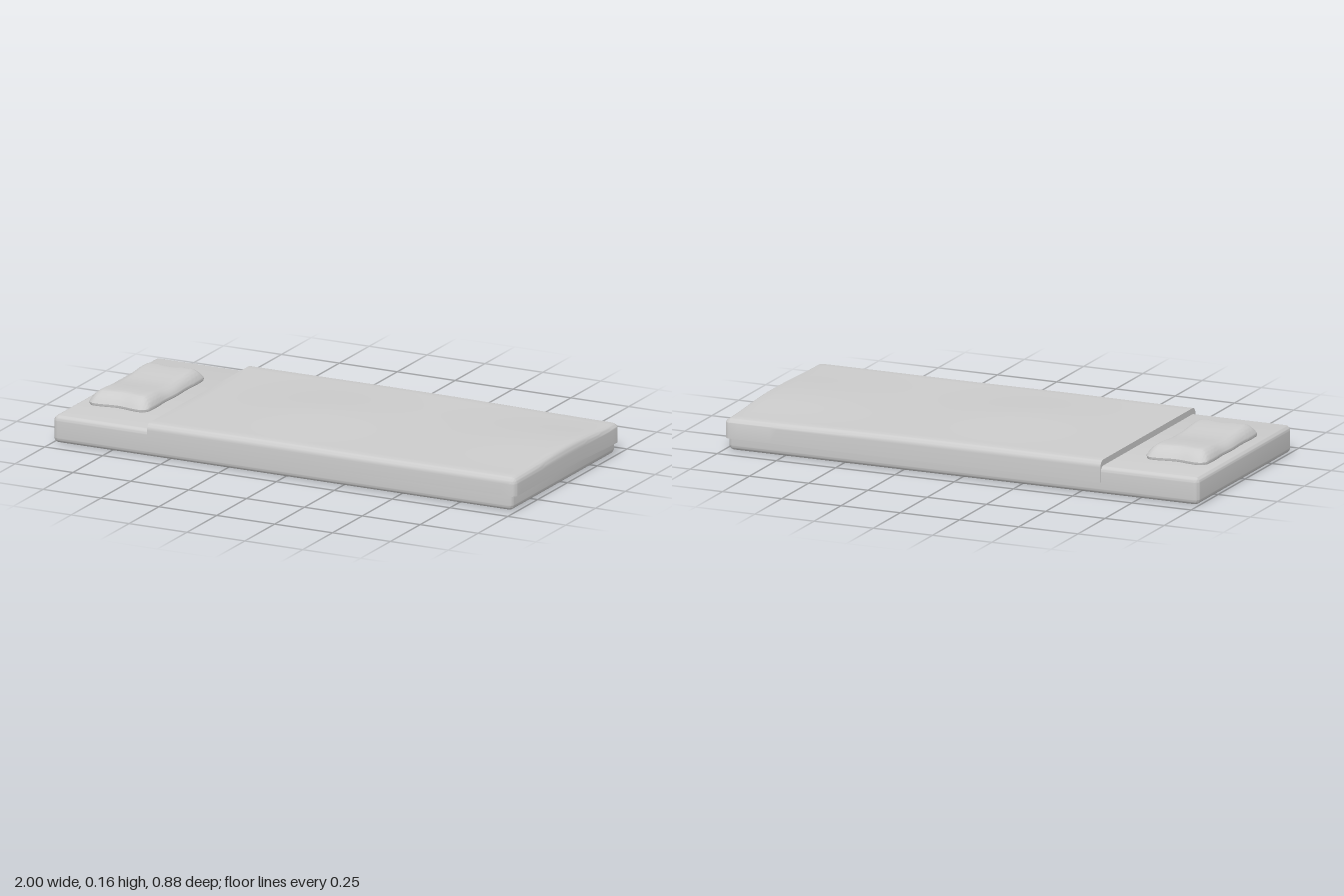
import * as THREE from 'three';
import { mergeVertices, toCreasedNormals } from 'three/addons/utils/BufferGeometryUtils.js';

const K = 4; // segments across each rounded edge

// Box with rounded edges and a regular grid on its faces; warp(p) then moves each vertex
function roundedSlab(min, max, r, grid, warp = () => {}) {
  const seg = grid.map((n) => n + 2 * K);
  const geo = new THREE.BoxGeometry(1, 1, 1, ...seg);
  geo.deleteAttribute('uv');
  geo.deleteAttribute('normal');
  const pos = geo.attributes.position;
  const half = min.map((v, a) => (max[a] - v) / 2);
  const mid = min.map((v, a) => (max[a] + v) / 2);
  const p = new THREE.Vector3();
  const off = new THREE.Vector3();
  for (let v = 0; v < pos.count; v++) {
    p.fromBufferAttribute(pos, v);
    off.set(0, 0, 0);
    for (let a = 0; a < 3; a++) {
      const i = Math.round((p.getComponent(a) + 0.5) * seg[a]);
      const inner = half[a] - r;
      const t = i < K ? (i - K) / K : Math.max(0, i - K - grid[a]) / K;
      const s = THREE.MathUtils.clamp((i - K) / grid[a], 0, 1) * 2 - 1;
      p.setComponent(a, mid[a] + s * inner);
      off.setComponent(a, Math.tan(t * Math.PI / 4));
    }
    p.addScaledVector(off.normalize(), r);
    warp(p);
    pos.setXYZ(v, p.x, p.y, p.z);
  }
  return toCreasedNormals(mergeVertices(geo, 1e-5), 0.7);
}

const bump = (x, c, w) => Math.exp(-(((x - c) / w) ** 2));

// Blanket: soft folds on top, cut straight at the head end and along the hem
function warpBlanket(p) {
  if (p.y > 0.1) {
    const soft = THREE.MathUtils.smoothstep(p.y, 0.1, 0.132);
    const swell = 0.016 * bump(p.x, -0.05, 0.26) * bump(p.z, 0.02, 0.26)
      + 0.012 * bump(p.x, 0.85, 0.3) * bump(p.z, 0, 0.25);
    const sag = 0.009 * THREE.MathUtils.smoothstep(p.x, 0.2, 1)
      * THREE.MathUtils.smoothstep(-p.z, 0.1, 0.44);
    p.y += soft * (swell - sag);
  }
  const hem = 0.06 - 0.012 * THREE.MathUtils.smoothstep(-p.z, 0, 0.44);
  p.y = Math.max(p.y, hem);
  p.x = Math.max(p.x, -0.59);
}

// Pillow: flared base, lifted ends and an uneven outline
function warpPillow(p) {
  const x = p.x + 0.82, z = p.z + 0.005;
  const up = THREE.MathUtils.clamp((p.y - 0.12) / 0.04, 0, 1);
  const u = x / 0.13, v = z / 0.25;
  const wave = 0.012 * Math.cos(v * 9);
  p.x = -0.82 + x * (1 - 0.14 * up + wave);
  p.z = -0.005 + z * (1 - 0.13 * up - 0.025 * Math.cos(u * 4.5) * Math.abs(v));
  p.y -= up * 0.011 * (1 - THREE.MathUtils.smoothstep(Math.abs(v), 0, 0.8));
}

export function createModel() {
  const group = new THREE.Group();
  const material = new THREE.MeshStandardMaterial({ color: 0xcccccc });
  const add = (name, geometry) => {
    const mesh = new THREE.Mesh(geometry, material);
    mesh.name = name;
    group.add(mesh);
  };
  add('mattress', roundedSlab([-1, 0, -0.436], [0.985, 0.11, 0.436], 0.022, [1, 1, 1]));
  add('blanket', roundedSlab([-0.65, 0, -0.441], [1, 0.134, 0.441], 0.027, [48, 1, 28], warpBlanket));
  add('pillow', roundedSlab([-0.95, 0.09, -0.255], [-0.69, 0.161, 0.245], 0.03, [12, 2, 28], warpPillow));
  return group;
}
